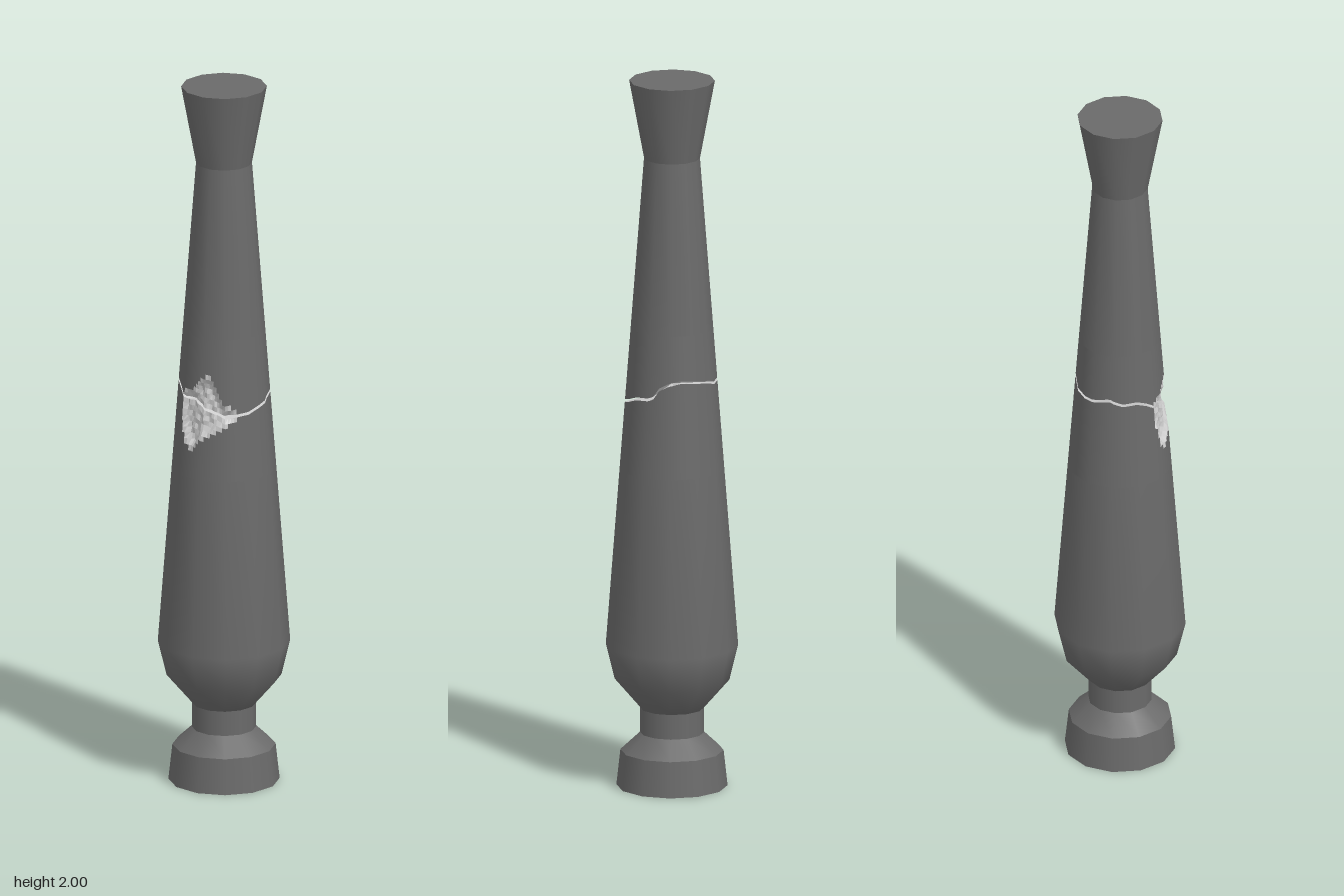
import * as THREE from 'three';

const SIDES = 12, COLS = 96, ROWS = 14;
const GAP = 0.004;                       // half width of the crack
const LOW = 0.9, HIGH = 1.3;             // limits of the broken section
const radiusAt = y => 0.182 - (y - 0.4) * 0.105 / 1.38;
const rad = THREE.MathUtils.degToRad;

const stone = new THREE.MeshStandardMaterial({ color: 0x6a6a6a });
const brokenStone = new THREE.MeshStandardMaterial({ color: 0xcccccc, flatShading: true, side: THREE.DoubleSide });

// Height of the crack around the shaft: [degrees from the front towards +x, y]
const crack = [[0, 1.09], [20, 1.1], [40, 1.115], [60, 1.12], [67, 1.125], [75, 1.15], [88, 1.165], [105, 1.172],
  [120, 1.17], [150, 1.16], [165, 1.15], [185, 1.155], [205, 1.165], [222, 1.15], [240, 1.155], [255, 1.14],
  [270, 1.12], [285, 1.12], [300, 1.1], [315, 1.09], [330, 1.08], [345, 1.085], [360, 1.09]];

// Outline of the chipped area: [degrees, lowest y, highest y]
const chip = [[268, 1.07, 1.13], [278, 1.0, 1.15], [287, 0.985, 1.14], [297, 1.02, 1.18],
  [309, 1.03, 1.19], [318, 1.05, 1.15], [328, 1.06, 1.11], [345, 1.08, 1.09]];

// Linear interpolation in a table of rows sorted by their first entry
function lookup(table, x, k) {
  const i = Math.max(1, table.findIndex(row => row[0] >= x));
  const a = table[i - 1], b = table[i];
  return a[k] + (b[k] - a[k]) * (x - a[0]) / (b[0] - a[0]);
}

// Distance of the broken surface below the stone skin
function dent(deg, y) {
  if (deg <= chip[0][0] || deg >= chip[chip.length - 1][0]) return 0;
  const inside = Math.min(y - lookup(chip, deg, 1), lookup(chip, deg, 2) - y);
  if (inside <= 0) return 0;
  const rough = 0.004 * Math.sin(deg * 0.45 + y * 60) * Math.sin(y * 95);
  return Math.min(inside * 0.8, 0.015 + rough);
}

// Point on the twelve-sided shaft
function shaftPoint(deg, y) {
  const half = 180 / SIDES;
  const flat = Math.cos(rad(half)) / Math.cos(rad((deg % (2 * half)) - half));
  const r = radiusAt(y) * flat - dent(deg, y);
  return [r * Math.sin(rad(deg)), y, r * Math.cos(rad(deg))];
}

function meshFrom(name, positions, material, normals) {
  const g = new THREE.BufferGeometry();
  g.setAttribute('position', new THREE.Float32BufferAttribute(positions, 3));
  if (normals) g.setAttribute('normal', new THREE.Float32BufferAttribute(normals, 3));
  else g.computeVertexNormals();
  const mesh = new THREE.Mesh(g, material);
  mesh.name = name;
  return mesh;
}

// One half of the broken section: smooth skin, chipped faces and fracture face
function brokenHalf(name, bottom, top, edge, faceUp) {
  const skin = [], normals = [], rough = [];
  const corner = (c, r) => {
    const deg = (c % COLS) * 360 / COLS;
    const y = THREE.MathUtils.lerp(bottom(deg), top(deg), r / ROWS);
    return { deg, y, p: shaftPoint(deg, y) };
  };
  for (let c = 0; c < COLS; c++) {
    for (let r = 0; r < ROWS; r++) {
      const a = corner(c, r), b = corner(c + 1, r), d = corner(c + 1, r + 1), e = corner(c, r + 1);
      const quad = [a, b, d, a, d, e];
      const chipped = quad.some(v => dent(v.deg, v.y) > 0);
      for (const v of quad) {
        (chipped ? rough : skin).push(...v.p);
        if (!chipped) normals.push(Math.sin(rad(v.deg)), 0.076, Math.cos(rad(v.deg)));
      }
    }
    // Fracture face, a fan towards the axis
    const r = faceUp ? ROWS : 0;
    const p = corner(c, r).p, q = corner(c + 1, r).p, centre = [0, edge, 0];
    rough.push(...(faceUp ? [...p, ...q, ...centre] : [...q, ...p, ...centre]));
  }
  const group = new THREE.Group();
  group.name = name;
  group.add(meshFrom(name + 'Skin', skin, stone, normals), meshFrom(name + 'Fracture', rough, brokenStone));
  return group;
}

export function createModel() {
  const model = new THREE.Group();
  model.name = 'crackedBaluster';

  // Turned parts, separate wherever the profile has a sharp edge
  const turned = {
    baseUnderside: [[0, 0], [0.153, 0]],
    base: [[0.153, 0], [0.142, 0.1]],
    baseShoulder: [[0.142, 0.1], [0.088, 0.15]],
    neckRing: [[0.088, 0.15], [0.088, 0.22]],
    belly: [[0.088, 0.22], [0.158, 0.3], [0.182, 0.4], [radiusAt(LOW), LOW]],
    upperShaft: [[radiusAt(HIGH), HIGH], [0.077, 1.78]],
    capital: [[0.077, 1.78], [0.118, 2]],
    capitalTop: [[0.118, 2], [0, 2]],
  };
  for (const [name, points] of Object.entries(turned)) {
    const mesh = new THREE.Mesh(new THREE.LatheGeometry(points.map(p => new THREE.Vector2(...p)), SIDES), stone);
    mesh.name = name;
    model.add(mesh);
  }

  // Shaft broken in two along the crack
  const crackAt = deg => lookup(crack, deg, 1);
  model.add(
    brokenHalf('lowerBreak', () => LOW, deg => crackAt(deg) - GAP, 1.12, true),
    brokenHalf('upperBreak', deg => crackAt(deg) + GAP, () => HIGH, 1.14, false),
  );
  return model;
}
